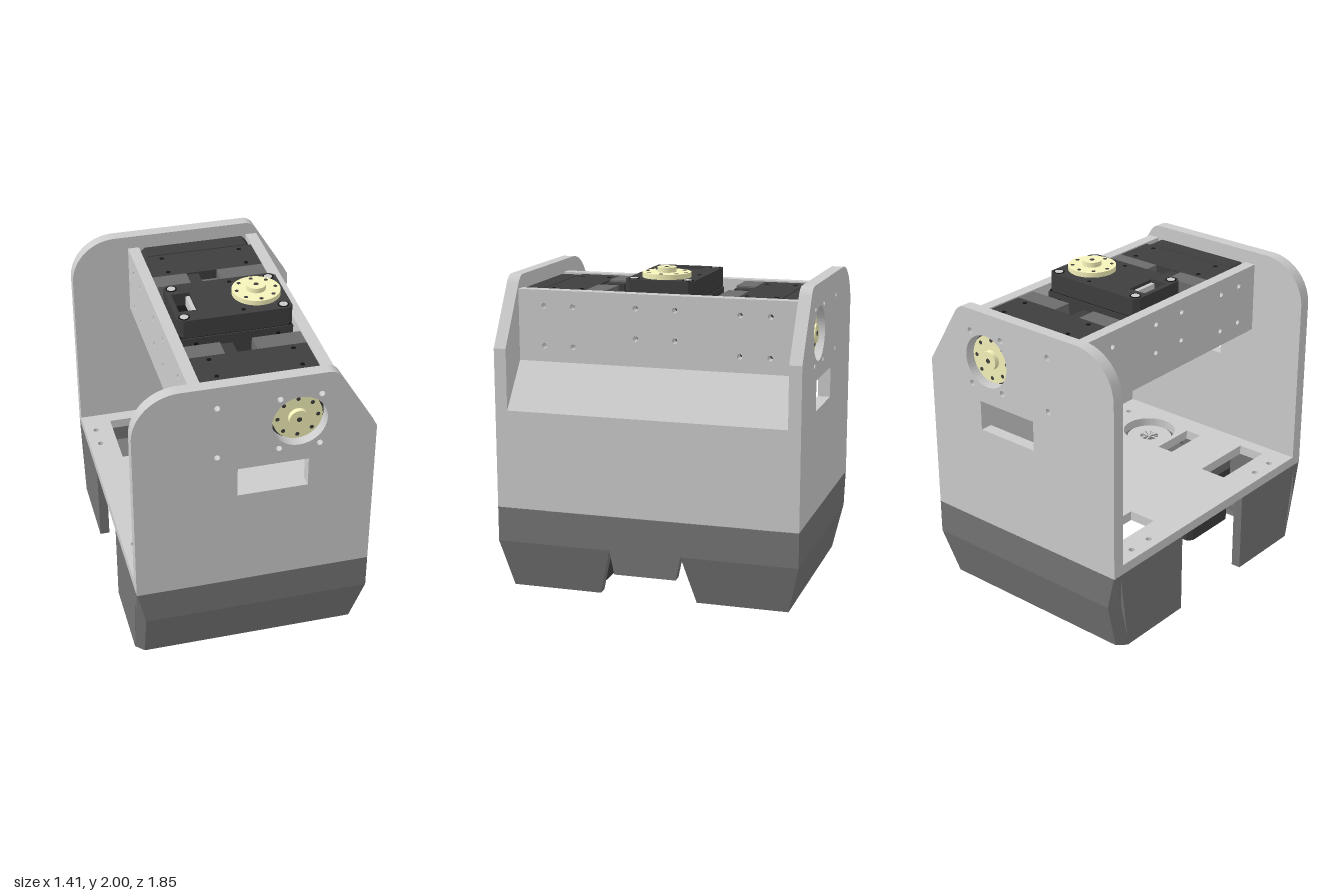
import * as THREE from 'three';
import { ConvexGeometry } from 'three/addons/geometries/ConvexGeometry.js';

const mat = (color, side = THREE.FrontSide) => new THREE.MeshStandardMaterial({ color, side });
const GREY = mat(0xcccccc), SKIRT = mat(0x757575), CASE = mat(0x3e3e3e);
const TAIL = mat(0x6c6c6c), HORN = mat(0xf6f3ba), BLACK = mat(0x141414);

function add(parent, name, geometry, material, x = 0, y = 0, z = 0) {
  const mesh = new THREE.Mesh(geometry, material);
  mesh.name = name;
  mesh.position.set(x, y, z);
  parent.add(mesh);
  return mesh;
}

// Box given by its lower and upper limits
function block(parent, name, material, x0, x1, y0, y1, z0, z1) {
  return add(parent, name, new THREE.BoxGeometry(x1 - x0, y1 - y0, z1 - z0), material,
    (x0 + x1) / 2, (y0 + y1) / 2, (z0 + z1) / 2);
}

const disc = (r, h, n = 40) => new THREE.CylinderGeometry(r, r, h, n);
const polygon = (pts) => new THREE.Shape(pts.map(([x, y]) => new THREE.Vector2(x, y)));
const rect = (x0, x1, y0, y1) => polygon([[x0, y0], [x1, y0], [x1, y1], [x0, y1]]);

function round(x, y, r) {
  const p = new THREE.Path();
  p.absarc(x, y, r, 0, Math.PI * 2, true);
  return p;
}

const extrude = (shape, depth) =>
  new THREE.ExtrudeGeometry(shape, { depth, bevelEnabled: false, curveSegments: 24 });
const hull = (pts) => new ConvexGeometry(pts.map((p) => new THREE.Vector3(...p)));

// Drive flange: disc, hub and a ring of eight screw holes
function makeHorn() {
  const g = new THREE.Group();
  g.name = 'horn';
  add(g, 'hornDisc', disc(0.145, 0.03), HORN, 0, 0.015, 0);
  add(g, 'hornHub', disc(0.057, 0.06), HORN, 0, 0.03, 0);
  add(g, 'hubScrew', disc(0.015, 0.002, 16), CASE, 0, 0.0605, 0);
  for (let i = 0; i < 8; i++) {
    const a = (i * Math.PI) / 4;
    add(g, 'hornHole', disc(0.012, 0.002, 16), CASE, 0.118 * Math.cos(a), 0.0305, 0.118 * Math.sin(a));
  }
  return g;
}

// Servo with its output face at y = 0 and its body below
function makeServo() {
  const g = new THREE.Group();
  g.name = 'servo';
  const c = 0.03, x0 = -0.27, x1 = 0.42, w = 0.21;
  const outline = () => polygon([[x0 + c, -w], [x1 - c, -w], [x1, -w + c], [x1, w - c],
    [x1 - c, w], [x0 + c, w], [x0, w - c], [x0, -w + c]]);
  // Face cover with a connector slot
  const cover = outline();
  cover.holes.push(rect(-0.24, -0.13, -0.1, 0.1));
  add(g, 'servoCover', extrude(cover, 0.115).rotateX(Math.PI / 2), CASE);
  block(g, 'slotFloor', BLACK, -0.25, -0.12, -0.11, -0.08, -0.11, 0.11);
  block(g, 'slotPlug', GREY, -0.155, -0.13, -0.08, -0.02, -0.095, 0.095);
  block(g, 'servoSeam', BLACK, x0 + 0.008, x1 - 0.008, -0.13, -0.11, -w + 0.008, w - 0.008);
  block(g, 'servoBody', CASE, x0, x1, -0.38, -0.123, -w, w);
  // Rear housing with a cable gap
  block(g, 'rearHousing', TAIL, x0, -0.06, -0.505, -0.38, -w, w);
  block(g, 'rearHousing', TAIL, 0.13, x1, -0.505, -0.38, -w, w);
  block(g, 'rearBridge', TAIL, 0.015, 0.13, -0.46, -0.38, -w + 0.06, w - 0.06);
  block(g, 'rearRib', CASE, -0.06, 0.015, -0.5, -0.38, -w + 0.01, w - 0.01);
  add(g, 'rearIdler', disc(0.145, 0.025), GREY, 0.25, -0.5175, 0);
  add(g, 'idlerHub', disc(0.06, 0.04), TAIL, 0.25, -0.51, 0);
  // Corner and side screws
  for (const s of [-1, 1]) {
    for (const x of [-0.225, 0.37]) {
      add(g, 'cornerScrewRim', disc(0.034, 0.004, 24), BLACK, x, 0, s * 0.165);
      add(g, 'cornerScrew', disc(0.025, 0.008, 24), GREY, x, 0, s * 0.165);
    }
    add(g, 'faceHole', disc(0.013, 0.003, 16), BLACK, 0.13, 0, s * 0.165);
    for (const x of [-0.165, 0.33]) for (const y of [-0.165, -0.34]) {
      add(g, 'sideHole', disc(0.014, 0.004, 16).rotateX(Math.PI / 2), BLACK, x, y, s * w);
    }
  }
  const horn = makeHorn();
  horn.position.x = 0.25;
  g.add(horn);
  return g;
}

// End plate with horn opening, window and screw holes
function endPlate() {
  const s = new THREE.Shape();
  s.moveTo(-0.705, 0.57);
  s.lineTo(0.705, 0.57);
  s.lineTo(0.705, 1.54);
  s.lineTo(0.49, 1.89);
  s.quadraticCurveTo(0.46, 1.945, 0.41, 1.945);
  s.lineTo(-0.43, 1.945);
  s.absarc(-0.43, 1.67, 0.275, Math.PI / 2, Math.PI, false);
  s.holes.push(round(0.25, 1.647, 0.16), rect(-0.105, 0.31, 1.195, 1.38));
  for (const x of [-0.225, 0.132, 0.37]) for (const y of [1.48, 1.81]) s.holes.push(round(x, y, 0.018));
  return extrude(s, 0.075);
}

// Upright rail that carries the upper servos
function rail() {
  const s = rect(-0.85, 0.85, 1.43, 1.865);
  for (const k of [-1, 1]) {
    for (const z of [0.51, 0.69]) for (const y of [1.53, 1.77]) s.holes.push(round(k * z, y, 0.016));
    for (const y of [1.6, 1.78]) s.holes.push(round(k * 0.12, y, 0.016));
  }
  return extrude(s, 0.07).rotateY(Math.PI / 2);
}

// Floor with cable openings, idler openings and screw holes
function floorPlate() {
  const s = rect(-0.705, 0.65, -0.85, 0.85);
  for (const k of [-1, 1]) {
    s.holes.push(rect(-0.525, -0.35, k > 0 ? 0.35 : -0.765, k > 0 ? 0.765 : -0.35));
    s.holes.push(round(0.25, k * 0.56, 0.17));
    s.holes.push(rect(-0.06, 0.05, k * 0.56 - 0.15, k * 0.56 + 0.15));
    for (const z of [0.53, 0.685]) {
      s.holes.push(round(-0.635, k * z, 0.019));
      s.holes.push(round(0.53, k * z, 0.019));
    }
  }
  return extrude(s, 0.06).rotateX(Math.PI / 2);
}

// Dark lower skirt, tapering inward below y = 0.36
function makeSkirt() {
  const g = new THREE.Group();
  g.name = 'skirt';
  const T = 0.06, levels = [[0.572, 0.705, 0.925, 0.004], [0.36, 0.705, 0.925, 0.05], [0.065, 0.635, 0.855, 0.05]];
  for (const k of [-1, 1]) {
    // End walls with chamfered rear corners
    const ring = ([y, x, z, c]) => [[-0.705, y, k * (z - T)], [x, y, k * (z - T)], [x, y, k * z],
      [-0.705 + c, y, k * z], [-0.705, y, k * (z - c)]];
    for (let i = 0; i < 2; i++) {
      add(g, 'skirtEnd', hull([...ring(levels[i]), ...ring(levels[i + 1])]), SKIRT);
    }
    // Tapered wall on either side of the centre notch
    const edge = (y, x, z0, z1) => [[x, y, k * z0], [x - T, y, k * z0], [x, y, k * z1], [x - T, y, k * z1]];
    add(g, 'skirtSide', hull([...edge(0.36, 0.705, 0.22, 0.9), ...edge(0.065, 0.635, 0.3, 0.83)]), SKIRT);
    // Wall on the open side and its inner ledge
    add(g, 'skirtOpenSide', hull([...edge(0.572, -0.645, 0.3, 0.87), ...edge(0.065, -0.645, 0.3, 0.8)]), SKIRT);
    const z0 = k > 0 ? 0.43 : -0.87;
    block(g, 'skirtLedge', SKIRT, -0.65, -0.275, 0.36, 0.4, z0, z0 + 0.44);
  }
  block(g, 'skirtUpperSide', SKIRT, 0.645, 0.705, 0.36, 0.572, -0.9, 0.9);
  add(g, 'skirtCentre', hull([0.645, 0.705].flatMap((x) =>
    [[x, 0.36, -0.22], [x, 0.36, 0.22], [x, 0.215, 0.19], [x, 0.215, -0.19]])), SKIRT);
  return g;
}

export function createModel() {
  const model = new THREE.Group();
  model.name = 'robotTorso';

  // Frame
  add(model, 'frontPlate', endPlate(), GREY, 0, 0, 0.85);
  add(model, 'backPlate', endPlate(), GREY, 0, 0, -0.925);
  add(model, 'leftRail', rail(), GREY, 0.42, 0, 0);
  add(model, 'rightRail', rail(), GREY, -0.345, 0, 0);
  const wall = polygon([[0.635, 0.57], [0.705, 0.57], [0.705, 1.17], [0.49, 1.435], [0.42, 1.435], [0.635, 1.15]]);
  add(model, 'sideWall', extrude(wall, 1.7), GREY, 0, 0, -0.85);
  add(model, 'floor', floorPlate(), GREY, 0, 0.632, 0);
  model.add(makeSkirt());

  // Servos: neck, two shoulders, two hips
  const mounts = [
    ['neckServo', 1.94, 0, 0],
    ['frontShoulderServo', 1.647, 0.85, Math.PI / 2],
    ['backShoulderServo', 1.647, -0.85, -Math.PI / 2],
    ['frontHipServo', 0.06, 0.56, Math.PI],
    ['backHipServo', 0.06, -0.56, Math.PI],
  ];
  for (const [name, y, z, turn] of mounts) {
    const servo = makeServo();
    servo.name = name;
    servo.position.set(0, y, z);
    servo.rotation.x = turn;
    model.add(servo);
  }
  return model;
}
